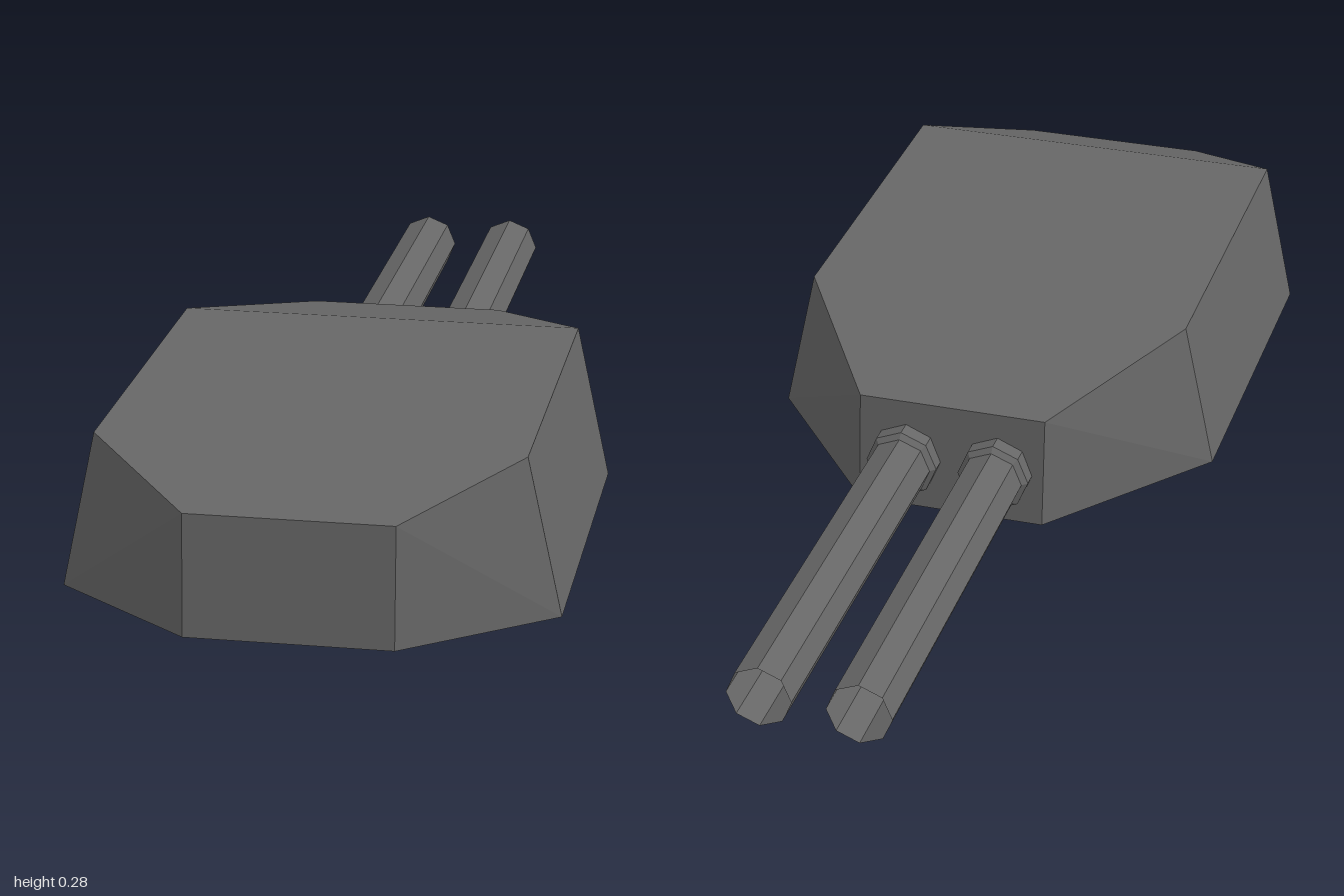
import * as THREE from 'three';
import { ConvexGeometry } from 'three/addons/geometries/ConvexGeometry.js';

export function createModel() {
  const model = new THREE.Group();
  model.name = 'gunTurret';
  const steel = new THREE.MeshStandardMaterial({ color: 0x666666, flatShading: true, side: THREE.DoubleSide });
  steel.name = 'gunmetal grey';

  // Armoured housing: octagonal base, sloped sides, roof dropping at both ends
  const corners = [];
  for (const x of [-1, 1]) {
    for (const end of [-1, 1]) {
      const z = (half) => 0.4 + end * half + (half < 0.5 ? 0.06 : 0);
      const baseEnd = 0.4 + end * 0.6;
      const roofEnd = 0.4 + end * 0.586;
      corners.push(
        new THREE.Vector3(x * 0.425, 0, z(0.35)),
        new THREE.Vector3(x * 0.176, 0, baseEnd),
        new THREE.Vector3(x * 0.365, 0.278, z(0.35)),
        new THREE.Vector3(x * 0.176, 0.211, roofEnd)
      );
    }
  }
  const housing = new THREE.Mesh(new ConvexGeometry(corners), steel);
  housing.name = 'turretHousing';
  model.add(housing);

  // Eight-sided hollow part turned around the barrel axis, running towards -z
  const turned = (profile) => {
    const points = profile.map(([r, d]) => new THREE.Vector2(r, d));
    return new THREE.LatheGeometry(points, 8).rotateX(-Math.PI / 2).toNonIndexed();
  };
  const barrelShape = turned([[0.0575, 0.17], [0.0575, 1]]);
  const collarShape = turned([[0.067, 0.17], [0.067, 0.22], [0.0575, 0.23]]);

  // Twin barrels, each with a mounting collar
  for (const [side, x] of [['left', 0.0875], ['right', -0.0875]]) {
    const gun = new THREE.Group();
    gun.name = side + 'Gun';
    gun.position.set(x, 0.0975, 0);
    for (const [name, shape] of [['Barrel', barrelShape], ['Collar', collarShape]]) {
      const mesh = new THREE.Mesh(shape, steel);
      mesh.name = side + name;
      gun.add(mesh);
    }
    model.add(gun);
  }
  return model;
}
